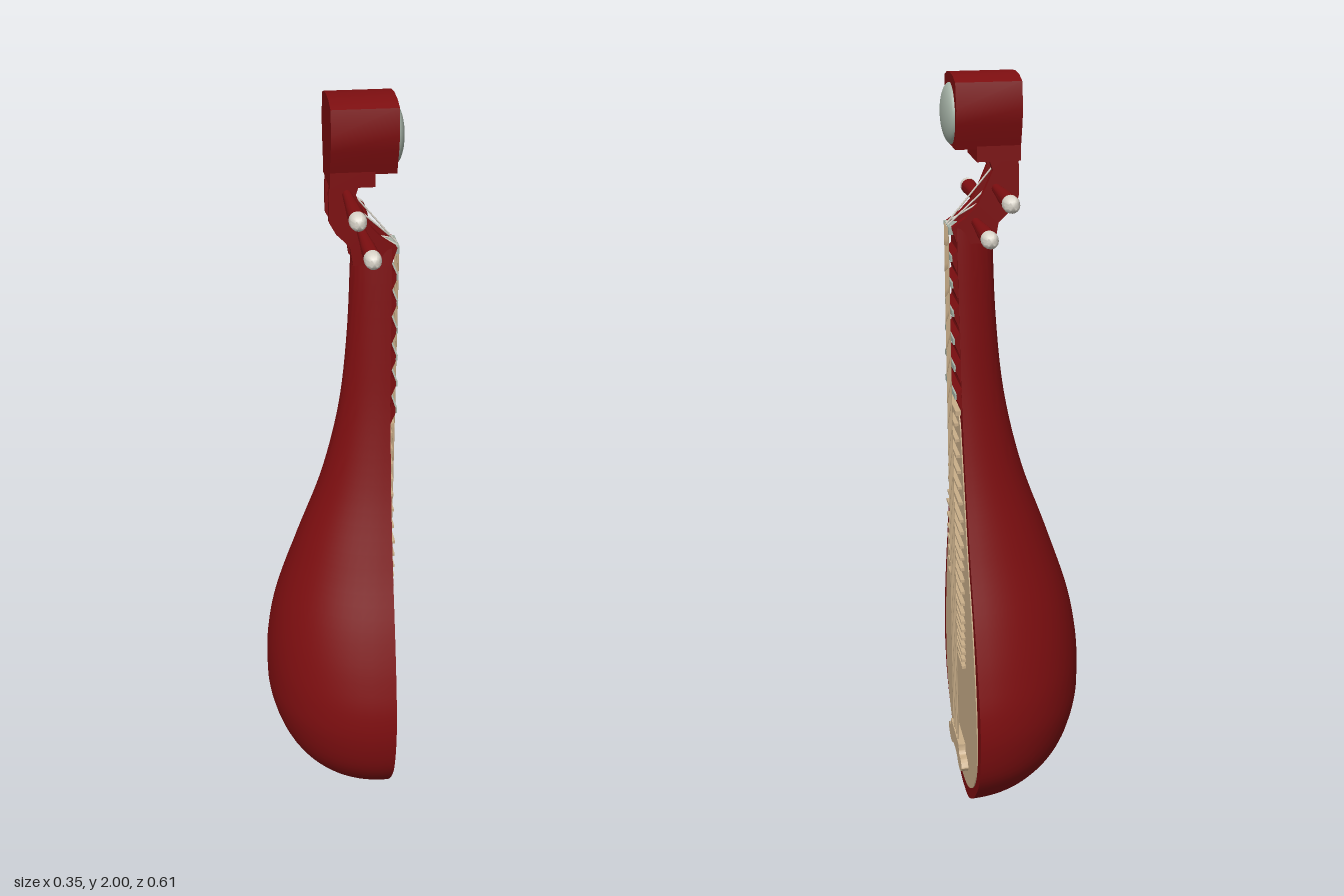
import * as THREE from 'three';
import { toCreasedNormals } from 'three/addons/utils/BufferGeometryUtils.js';

const mat = (name, color, side = THREE.FrontSide) => {
  const m = new THREE.MeshStandardMaterial({ color, side });
  m.name = name;
  return m;
};
const FRONT = 0.147; // x of the flat front of the body

export function createModel() {
  const red = mat('dark red lacquer', 0x7d0e10);
  const wood = mat('pale wood', 0xc9ae89);
  const jade = mat('pale jade', 0xa5b2a6);
  const ivory = mat('ivory', 0xd9d4c9);
  const root = new THREE.Group();
  root.name = 'lute';

  const add = (name, geo, material, x = 0, y = 0, z = 0) => {
    const m = new THREE.Mesh(geo, material);
    m.name = name;
    m.position.set(x, y, z);
    root.add(m);
    return m;
  };
  const box = (name, w, h, d, material, x, y, z) =>
    add(name, new THREE.BoxGeometry(w, h, d), material, x, y, z);
  const rod = (name, a, b, r, material) => {
    const dir = b.clone().sub(a);
    const m = add(name, new THREE.CylinderGeometry(r, r, dir.length(), 6), material);
    m.position.copy(a).addScaledVector(dir, 0.5);
    m.quaternion.setFromUnitVectors(new THREE.Vector3(0, 1, 0), dir.normalize());
    return m;
  };
  const v = (x, y, z) => new THREE.Vector3(x, y, z);
  // symmetric outline from half-width/height pairs, bottom to top
  const mirrored = (half) => new THREE.Shape([
    ...half.map(([w, y]) => new THREE.Vector2(w, y)),
    ...half.slice().reverse().map(([w, y]) => new THREE.Vector2(-w, y)),
  ]);
  const smooth = (pts, n) => new THREE.CatmullRomCurve3(pts.map(([w, y]) => v(w, y, 0)))
    .getPoints(n).map((p) => [Math.max(p.x, 0), p.y]);
  // plate seen from the front, thickness along x
  const plate = (shape, depth) => toCreasedNormals(
    new THREE.ExtrudeGeometry(shape, { depth, bevelEnabled: false }).rotateY(Math.PI / 2), 0.6);
  // side profile in x/y, thickness along z and centred
  const profile = (pts, depth) => new THREE.ExtrudeGeometry(
    new THREE.Shape(pts.map(([x, y]) => new THREE.Vector2(x, y))),
    { depth, bevelEnabled: false }).translate(0, 0, -depth / 2);

  // body and neck: half-oval sections of [half width, height, back x]
  const sections = [
    [0, 0, 0.14], [0.075, 0.01, 0.08], [0.14, 0.045, -0.015], [0.205, 0.1, -0.078],
    [0.28, 0.2, -0.138], [0.306, 0.31, -0.17], [0.303, 0.4, -0.175], [0.28, 0.5, -0.17],
    [0.243, 0.62, -0.148], [0.18, 0.8, -0.09], [0.122, 1, -0.02], [0.084, 1.2, 0.025],
    [0.063, 1.4, 0.045], [0.046, 1.64, 0.053],
  ];
  const rows = new THREE.CatmullRomCurve3(sections.map((s) => v(...s))).getPoints(72);
  rows.forEach((p) => { p.x = Math.max(p.x, 0); p.y = Math.max(p.y, 0); });
  rows.push(v(0, 1.64, FRONT)); // closes the top of the neck
  const N = 32, pos = [], idx = [];
  rows.forEach((p, i) => {
    for (let j = 0; j <= N; j++) {
      const t = (j / N) * Math.PI;
      pos.push(FRONT - (FRONT - p.z) * Math.pow(Math.sin(t) + 1e-9, 0.96), p.y, p.x * Math.cos(t));
      if (i && j) {
        const c = i * (N + 1) + j, b = c - N - 1;
        idx.push(b - 1, c - 1, b, b, c - 1, c);
      }
    }
  });
  const shell = new THREE.BufferGeometry();
  shell.setAttribute('position', new THREE.Float32BufferAttribute(pos, 3));
  shell.setIndex(idx);
  add('bodyShell', toCreasedNormals(shell, 0.7), red);
  add('bodyFront', new THREE.ShapeGeometry(mirrored(rows.slice(0, -1).map((p) => [p.x, p.y])))
    .rotateY(Math.PI / 2), red, FRONT);

  // soundboard and bridge
  add('soundboard', plate(mirrored(smooth([
    [0, 0.04], [0.1, 0.06], [0.2, 0.13], [0.25, 0.22], [0.262, 0.32], [0.245, 0.48],
    [0.205, 0.64], [0.15, 0.8], [0.11, 0.95], [0.077, 1.08], [0.052, 1.15], [0, 1.172],
  ], 60)), 0.003), wood, FRONT);
  add('bridge', plate(mirrored([
    ...smooth([[0, 0.125], [0.03, 0.12], [0.06, 0.104], [0.09, 0.106], [0.116, 0.13],
      [0.1, 0.148], [0.075, 0.152], [0.068, 0.165]], 28),
    [0.068, 0.178], [0, 0.178],
  ]), 0.02), wood, FRONT + 0.002);

  // thin frets on the soundboard: [height, right z, left z]
  const frets = [
    [1.13, -0.04, 0.04], [1.09, -0.05, 0.05], [1.05, -0.06, 0.06], [1.01, -0.07, 0.07],
    [0.97, -0.08, 0.08], [0.93, -0.09, 0.09], [0.885, -0.1, 0.1],
  ];
  [0.85, 0.81, 0.775, 0.745, 0.71, 0.675, 0.64].forEach((y) => frets.push([y, -0.1, 0.12]));
  [0.61, 0.585, 0.56].forEach((y) => frets.push([y, -0.1, 0.08]));
  [0.535, 0.512, 0.49, 0.468, 0.447].forEach((y) => frets.push([y, -0.1, 0.032]));
  frets.forEach(([y, a, b]) =>
    box('fret', 0.014, 0.008, b - a, wood, FRONT + 0.007, y, (a + b) / 2));

  // wedge ridges on the neck with jade crests
  [1.22, 1.292, 1.36, 1.43, 1.5, 1.565].forEach((y) => {
    const w = 2 * (0.08 - (y - 1.22) * 0.1);
    add('neckRidge', profile([[0, -0.042], [0.014, -0.007], [0.014, 0.007], [0, 0.022]], w),
      red, FRONT - 0.001, y);
    box('ridgeCrest', 0.005, 0.015, w, jade, FRONT + 0.0145, y, 0);
  });
  box('lowNeckFret', 0.014, 0.012, 0.13, wood, FRONT + 0.007, 1.17, 0);
  box('nut', 0.03, 0.018, 0.08, jade, FRONT + 0.004, 1.632, 0);

  // pegbox: two cheeks with an open slot between them
  const cheek = [
    [0, 1.83], [-0.006, 1.78], [-0.005, 1.71], [0.012, 1.68], [0.045, 1.648], [0.053, 1.6],
    [0.147, 1.6], [0.16, 1.64], [0.125, 1.664], [0.095, 1.695], [0.075, 1.735], [0.058, 1.775],
    [0.066, 1.8], [0.1, 1.83],
  ];
  for (const s of [-1, 1]) add('pegboxCheek', profile(cheek, 0.018), red, 0, 0, s * 0.037);

  // tuning pegs: [x, y, side]
  const turn = (pts) => new THREE.LatheGeometry(
    pts.map(([r, y]) => new THREE.Vector2(r, y)), 16);
  const shaft = turn([[0, -0.045], [0.01, -0.045], [0.011, 0.04], [0.014, 0.1], [0.018, 0.16],
    [0.02, 0.218], [0, 0.218]]);
  const tip = turn([[0.02, 0.217], [0.0205, 0.23], [0.018, 0.244], [0.011, 0.253], [0, 0.256]]);
  const pegs = [[0.037, 1.777, 1], [0.072, 1.685, 1], [0.05, 1.732, -1], [0.1, 1.652, -1]];
  pegs.forEach(([x, y, s]) => {
    for (const [name, g, m] of [['pegShaft', shaft, red], ['pegTip', tip, ivory]]) {
      add(name, toCreasedNormals(g, 0.7), m, x, y).rotation.x = s * Math.PI / 2;
    }
  });

  // strings from bridge to nut, then down to the pegs
  [0.039, 0.013, -0.013, -0.039].forEach((z, i) => {
    const low = v(0.165, 0.17, z), nut = v(0.166, 1.638, z * 0.62);
    const [px, py] = pegs[[1, 0, 2, 3][i]];
    rod('string', low, nut, 0.0022, wood);
    rod('stringEnd', nut, v(px + 0.01, py, z * 0.5), 0.0022, ivory);
  });

  // head block with rounded top, and its domed jade disc
  add('headBlock', plate(mirrored([
    [0.066, 1.83], [0.072, 1.85], [0.084, 1.89], [0.09, 1.925], [0.08, 1.985],
    [0.045, 1.996], [0, 2],
  ]), 0.157), red, -0.006);
  box('headBase', 0.106, 0.05, 0.136, red, 0.047, 1.825, 0);
  const dome = new THREE.SphereGeometry(0.072, 32, 10, 0, Math.PI * 2, 0, Math.PI / 2)
    .scale(1, 0.34, 1).rotateZ(-Math.PI / 2);
  add('headDisc', dome, jade, 0.15, 1.905, 0);

  return root;
}
